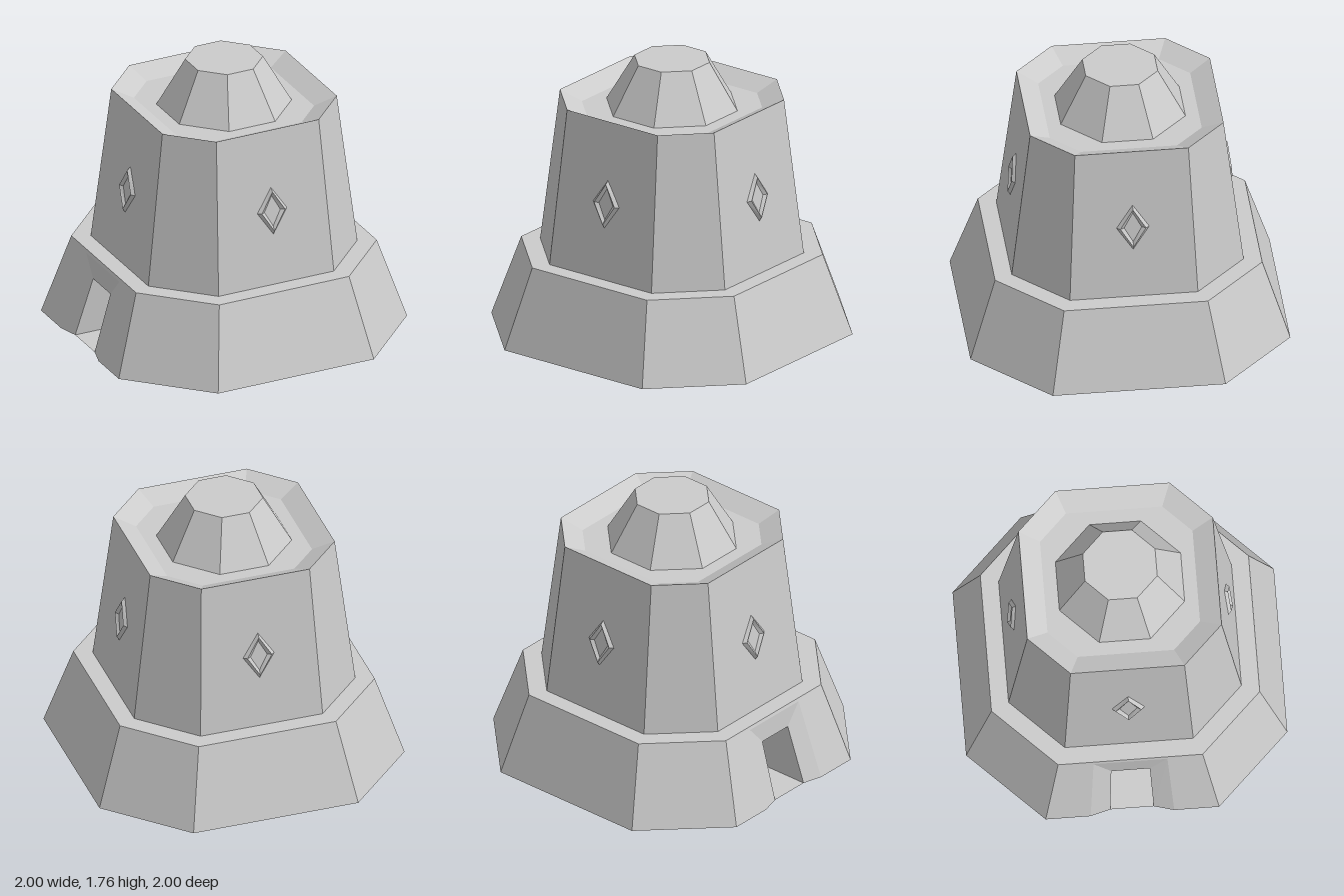
import * as THREE from 'three';

const material = new THREE.MeshStandardMaterial({ color: 0xcccccc, flatShading: true });

// Flat-shaded mesh from polygons; each polygon is a counter-clockwise list of [x, y, z]
function polyMesh(name, polygons) {
  const pos = [];
  for (const p of polygons)
    for (let i = 1; i < p.length - 1; i++) pos.push(...p[0], ...p[i], ...p[i + 1]);
  const geo = new THREE.BufferGeometry();
  geo.setAttribute('position', new THREE.Float32BufferAttribute(pos, 3));
  geo.computeVertexNormals();
  const mesh = new THREE.Mesh(geo, material);
  mesh.name = name;
  return mesh;
}

// Eight-sided ring: h = distance to the main sides, e = half length of those sides
const octagon = (h, e, y) =>
  [[e, h], [h, e], [h, -e], [e, -h], [-e, -h], [-h, -e], [-h, e], [-e, h]].map(([x, z]) => [x, y, z]);

const diamond = (w, h, z) => [[w, 0, z], [0, h, z], [-w, 0, z], [0, -h, z]];

// Quads between successive rings, closed by the last ring
function loft(rings, skipSide = -1) {
  const polys = [rings.at(-1)];
  for (let r = 0; r < rings.length - 1; r++) {
    const a = rings[r], b = rings[r + 1];
    a.forEach((p, i) => {
      const j = (i + 1) % a.length;
      if (i !== skipSide) polys.push([p, a[j], b[j], b[i]]);
    });
  }
  return polys;
}

// Upside-down U around the doorway: foot, top, top, foot
const arch = (x0, z0, x1, y1, z1) => [[x0, 0, -z0], [x1, y1, -z1], [x1, y1, z1], [x0, 0, z0]];

function createBase() {
  const foot = octagon(1, 0.54, 0);
  const polys = loft([foot, octagon(0.835, 0.45, 0.52)], 5);

  // Side with the doorway: wall, splayed frame, then a deep passage
  const arches = [
    arch(-1, 0.54, -0.835, 0.52, 0.45),
    arch(-1, 0.26, -0.841, 0.5, 0.23),
    arch(-0.965, 0.135, -0.848, 0.37, 0.12),
    arch(-0.6, 0.135, -0.6, 0.37, 0.12),
  ];
  for (let k = 0; k < 3; k++)
    for (let j = 0; j < 3; j++)
      polys.push([arches[k][j], arches[k + 1][j], arches[k + 1][j + 1], arches[k][j + 1]]);
  const [, outer, inner, back] = arches;
  polys.push([back[0], back[3], back[2], back[1]]); // passage end
  polys.push([inner[0], inner[3], back[3], back[0]]); // passage floor

  // Underside, notched at the doorway
  const rim = [...foot.slice(0, 6), outer[0], inner[0], inner[3], outer[3], ...foot.slice(6)];
  rim.forEach((p, i) => polys.push([[0, 0, 0], rim[(i + 1) % rim.length], p]));
  return polyMesh('base', polys);
}

export function createModel() {
  const model = new THREE.Group();
  model.name = 'tower';
  model.add(createBase());

  // Tapered body with a sunken, sloping roof rim
  model.add(polyMesh('body', loft([
    octagon(0.725, 0.4, 0.52),
    octagon(0.605, 0.355, 1.525),
    octagon(0.475, 0.3, 1.46),
  ])));

  // Roof cap
  model.add(polyMesh('roofCap', loft([
    octagon(0.39, 0.16, 1.46),
    octagon(0.225, 0.09, 1.765),
  ])));

  // Diamond window on each main side, leaning with the wall
  for (let i = 0; i < 4; i++) {
    const frame = polyMesh('window', loft([
      diamond(0.105, 0.158, -0.003),
      diamond(0.08, 0.13, 0.02),
      diamond(0.055, 0.1, 0.003),
    ]));
    frame.position.set(0, 1, 0.668);
    frame.rotation.x = -Math.atan2(0.12, 1.005);
    const side = new THREE.Group();
    side.name = 'windowSide';
    side.rotation.y = (i * Math.PI) / 2;
    side.add(frame);
    model.add(side);
  }
  return model;
}
